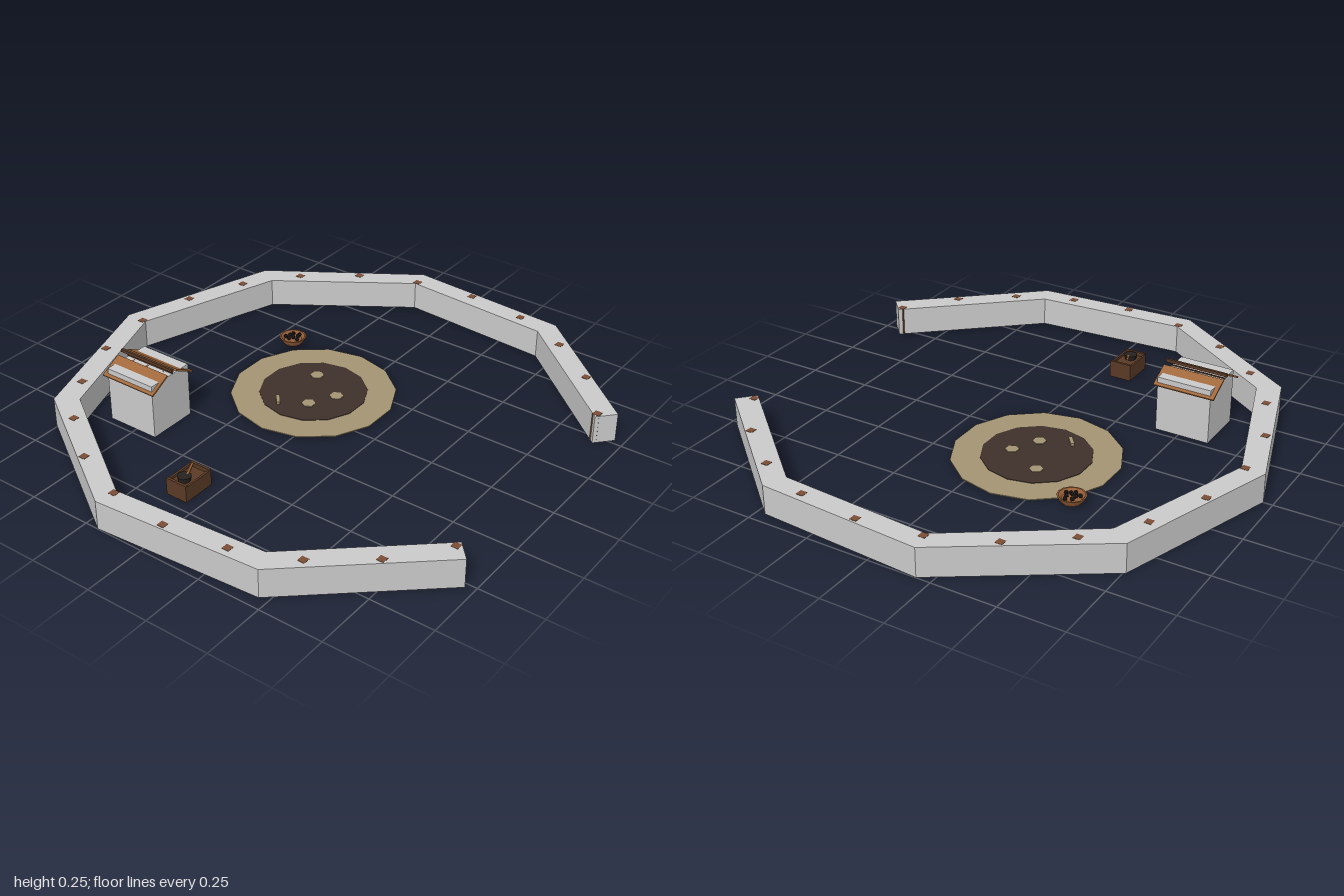
import * as THREE from 'three';

const mat = (name, color) => {
  const m = new THREE.MeshStandardMaterial({ color });
  m.name = name;
  return m;
};

export function createModel() {
  const root = new THREE.Group();
  const grey = mat('pale grey', 0xcacaca);
  const postBrown = mat('post brown', 0x7a4e36);
  const roofBrown = mat('roof brown', 0xa0683c);
  const darkBrown = mat('dark brown', 0x5a3a26);
  const tan = mat('sandy tan', 0xa39472);
  const soil = mat('dark soil', 0x3f312c);
  const bowlBrown = mat('bowl brown', 0x965e38);
  bowlBrown.side = THREE.DoubleSide;
  const black = mat('charcoal', 0x262220);

  const add = (parent, name, geo, material, x = 0, y = 0, z = 0) => {
    const m = new THREE.Mesh(geo, material);
    m.name = name;
    m.position.set(x, y, z);
    parent.add(m);
    return m;
  };
  const box = (w, h, d) => new THREE.BoxGeometry(w, h, d);
  const group = (name, x = 0, z = 0) => {
    const g = new THREE.Group();
    g.name = name;
    g.position.set(x, 0, z);
    root.add(g);
    return g;
  };
  // Flat-sided disc whose first corner points along +x
  const disc = (r, h, n) => new THREE.CylinderGeometry(r, r, h, n).rotateY(Math.PI / 2).toNonIndexed();

  // Enclosure wall: a mirrored polyline with an open front
  const outer = [[0, -0.965], [0.63, -0.76], [1, -0.195], [0.955, 0.465], [0.52, 0.965]];
  const inner = [[0, -0.875], [0.575, -0.68], [0.913, -0.18], [0.87, 0.43], [0.455, 0.905]];
  const mirrored = (pts) => [...pts.slice(1).reverse().map(([x, z]) => [-x, z]), ...pts];
  const outline = [...mirrored(outer), ...mirrored(inner).reverse()];
  const wallShape = new THREE.Shape(outline.map(([x, z]) => new THREE.Vector2(x, -z)));
  const wallGeo = new THREE.ExtrudeGeometry(wallShape, { depth: 0.115, bevelEnabled: false });
  add(root, 'enclosureWall', wallGeo.rotateX(-Math.PI / 2), grey);

  // Posts set in the wall along an arc
  const posts = group('wallPosts', 0, 0.07);
  for (let i = -10; i <= 10; i++) {
    const a = (i * Math.PI) / 12;
    add(posts, 'wallPost', box(0.028, 0.117, 0.028), postBrown, 0.96 * Math.sin(a), 0.0575, -0.96 * Math.cos(a));
  }

  // Hut with two roof slopes and a ridge pole
  const hut = group('hut', -0.375, -0.515);
  add(hut, 'hutWalls', box(0.2, 0.219, 0.216), grey, 0, 0.1105, 0);
  for (const s of [-1, 1]) {
    const slope = add(hut, 'roofSlope', box(0.097, 0.007, 0.245), roofBrown, s * 0.067, 0.212, -0.002);
    slope.rotation.z = -s * 0.49;
    add(hut, 'roofRail', box(0.005, 0.006, 0.22), darkBrown, s * 0.015, 0.221, -0.002);
  }
  add(hut, 'ridgePole', box(0.01, 0.012, 0.25), darkBrown, 0, 0.245, -0.002);
  for (const z of [-0.065, 0, 0.065]) {
    add(hut, 'hutPost', box(0.018, 0.22, 0.018), postBrown, 0, 0.11, z);
  }

  // Sandy fire ring with dark centre, flat stones and a stick
  const pit = group('firePit', 0.125, -0.125);
  add(pit, 'sandRing', disc(0.32, 0.004, 14), tan, 0, 0.002, 0);
  add(pit, 'soilPatch', disc(0.21, 0.004, 14), soil, 0, 0.004, 0);
  for (const [x, z] of [[0.097, -0.055], [-0.085, 0.04], [0.02, 0.095]]) {
    add(pit, 'flatStone', disc(0.027, 0.006, 6), tan, x, 0.006, z);
  }
  const stick = add(pit, 'stick', box(0.055, 0.014, 0.014), tan, -0.137, 0.009, -0.067);
  stick.rotation.y = 0.7;

  // Bowl with dark berries
  const bowl = group('bowl', 0.36, -0.405);
  const profile = [[0, 0.012], [0.034, 0.012], [0.047, 0.027], [0.054, 0.042], [0.048, 0.042], [0.036, 0.03], [0, 0.03]];
  const bowlGeo = new THREE.LatheGeometry(profile.map(([x, y]) => new THREE.Vector2(x, y)), 14).toNonIndexed();
  bowlGeo.computeVertexNormals();
  add(bowl, 'bowlShell', bowlGeo, bowlBrown);
  for (let i = 0; i < 9; i++) {
    const a = i * 2.4;
    const r = 0.011 * Math.sqrt(i);
    add(bowl, 'berry', new THREE.IcosahedronGeometry(0.009, 0), black, r * Math.cos(a), 0.046 - r * 0.25, r * Math.sin(a));
  }

  // Small crate with a raised rim, a pot and a ladle
  const crate = group('crate', -0.643, -0.095);
  add(crate, 'crateBody', box(0.135, 0.052, 0.09), darkBrown, 0, 0.026, 0);
  for (const s of [-1, 1]) {
    add(crate, 'crateEnd', box(0.01, 0.068, 0.09), darkBrown, s * 0.0625, 0.034, 0);
    add(crate, 'crateSide', box(0.115, 0.062, 0.008), darkBrown, 0, 0.031, s * 0.041);
  }
  add(crate, 'pot', new THREE.CylinderGeometry(0.026, 0.022, 0.02, 12), black, -0.022, 0.061, 0);
  const ladle = add(crate, 'ladle', box(0.058, 0.006, 0.008), bowlBrown, 0.018, 0.073, -0.008);
  ladle.rotation.set(0, 0.4, 0.15);

  return root;
}
